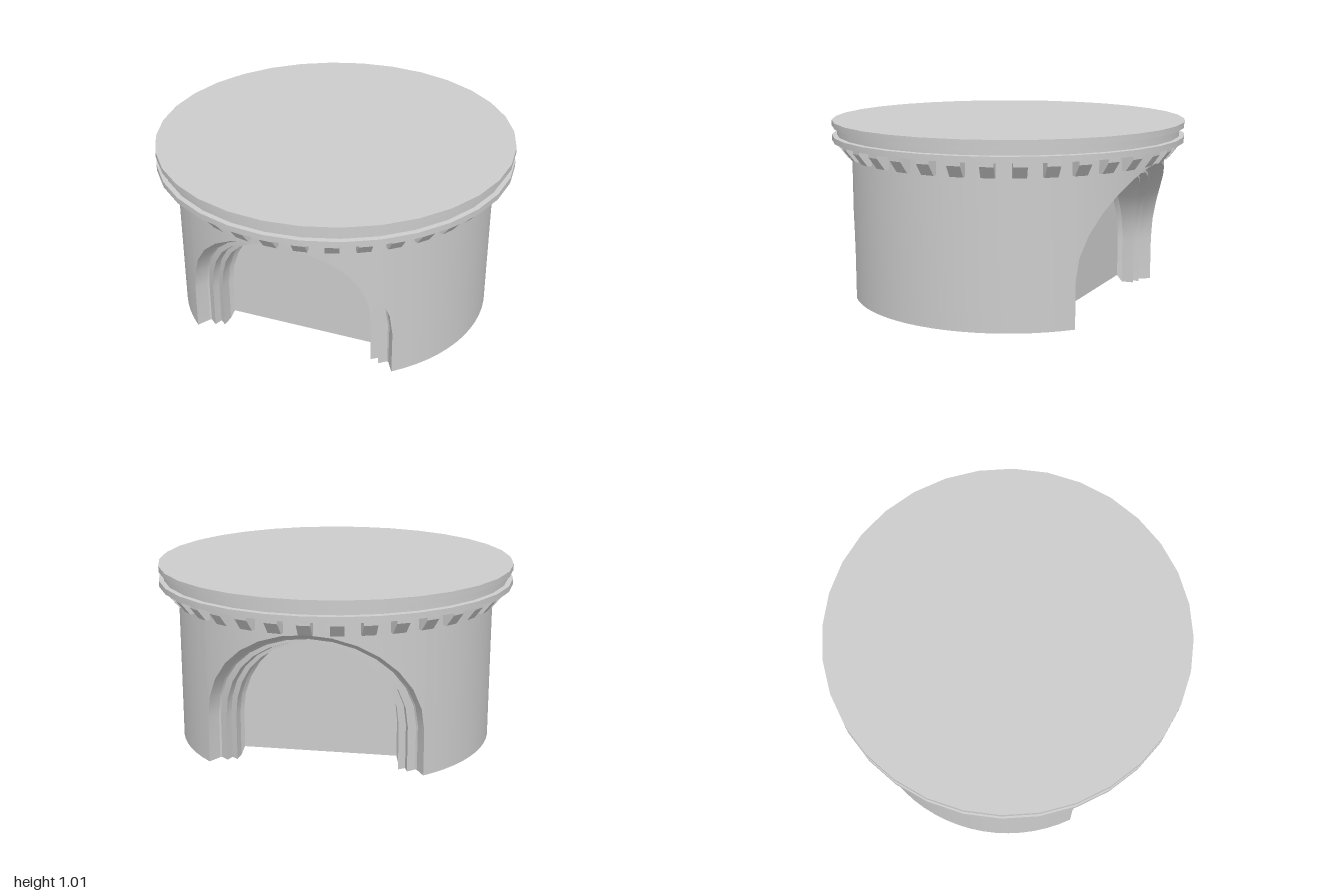
import * as THREE from 'three';
import { toCreasedNormals } from 'three/addons/utils/BufferGeometryUtils.js';

const R = 0.888;         // drum radius
const SPRING = 0.25;     // height where the arches begin to curve
const SOFFIT = 0.893;    // underside of the cornice

const mat = new THREE.MeshStandardMaterial({ color: 0xcccccc });
const open = new THREE.MeshStandardMaterial({ color: 0xcccccc, side: THREE.DoubleSide });

function add(parent, name, geometry, material = mat) {
  const mesh = new THREE.Mesh(geometry, material);
  mesh.name = name;
  parent.add(mesh);
  return mesh;
}

// Ruled surface between two rows of points
function strip(rowA, rowB) {
  const n = rowA.length;
  const index = [];
  for (let i = 0; i < n - 1; i++) {
    index.push(i, i + 1, n + i, i + 1, n + i + 1, n + i);
  }
  const g = new THREE.BufferGeometry().setFromPoints([...rowA, ...rowB]);
  g.setIndex(index);
  g.computeVertexNormals();
  return g;
}

// Arch outline from the +x foot over the crown to the -x foot
function archPath({ a, b, base = 0 }, segments = 14) {
  const pts = [new THREE.Vector2(a, base)];
  for (let i = 0; i <= segments; i++) {
    const t = (i / segments) * Math.PI;
    pts.push(new THREE.Vector2(a * Math.cos(t), SPRING + b * Math.sin(t)));
  }
  pts.push(new THREE.Vector2(-a, base));
  return pts;
}

// Arch outline in space: wrapped round a cylinder of radius r, or flat at depth z
function archRow(step) {
  return archPath(step).map((p) => new THREE.Vector3(
    p.x, p.y, step.r ? Math.sqrt(step.r ** 2 - p.x ** 2) : step.z));
}

// Concentric stepped rings follow the drum's curve, then a deep reveal meets the panel
const STEPS = [
  { a: 0.58, b: 0.55, r: R },
  { a: 0.54, b: 0.515, r: 0.81 },
  { a: 0.53, b: 0.505, r: 0.80 },
  { a: 0.49, b: 0.49, r: 0.80 },
  { a: 0.475, b: 0.48, r: 0.755 },
  { a: 0.44, b: 0.47, r: 0.755 },
  { a: 0.435, b: 0.465, z: 0.545 },
  { a: 0.42, b: 0.45, base: 0.04, z: 0.52 },
];

function addArch(parent) {
  const rows = STEPS.map(archRow);
  for (let i = 1; i < rows.length; i++) {
    add(parent, 'archMoulding', strip(rows[i - 1], rows[i]), open);
  }
  const inner = STEPS[STEPS.length - 1];
  const panel = new THREE.ShapeGeometry(new THREE.Shape(archPath(inner)));
  add(parent, 'archPanel', panel, open).position.z = inner.z;
}

// One half of the drum wall: the part over the arch and one solid side
function addDrumHalf(parent) {
  const raise = (row) => row.map((p) => new THREE.Vector3(p.x, SOFFIT, p.z));
  const overArch = archRow(STEPS[0]).slice(1, -1).reverse();
  add(parent, 'wallOverArch', strip(overArch, raise(overArch)), open);

  const edge = Math.asin(STEPS[0].a / R);
  const foot = [];
  for (let i = 0; i <= 20; i++) {
    const t = edge + (Math.PI - 2 * edge) * (i / 20);
    foot.push(new THREE.Vector3(R * Math.sin(t), 0, R * Math.cos(t)));
  }
  add(parent, 'sideWall', strip(foot, raise(foot)), open);
}

export function createModel() {
  const model = new THREE.Group();
  model.name = 'archedRoundPedestal';

  // Front and back halves are the same, turned half a circle
  for (let i = 0; i < 2; i++) {
    const half = new THREE.Group();
    half.name = i ? 'backHalf' : 'frontHalf';
    half.rotation.y = i * Math.PI;
    addDrumHalf(half);
    addArch(half);
    model.add(half);
  }

  // Cornice: flat underside that also roofs the drum, lower ring, groove and top slab
  const profile = [
    [0, SOFFIT], [0.997, SOFFIT], [0.997, 0.925], [0.97, 0.927],
    [0.97, 0.972], [0.997, 0.975], [0.997, 1.007], [0, 1.007],
  ].map(([r, y]) => new THREE.Vector2(r, y));
  const cornice = new THREE.LatheGeometry(profile, 32);
  add(model, 'cornice', toCreasedNormals(cornice, 0.3));

  // Ring of small brackets under the cornice
  const side = new THREE.Shape([
    [0.88, 0.805], [0.913, 0.805], [0.962, 0.868], [0.962, SOFFIT], [0.88, SOFFIT],
  ].map(([r, y]) => new THREE.Vector2(r, y)));
  const width = 0.072;
  const bracket = new THREE.ExtrudeGeometry(side, { depth: width, bevelEnabled: false });
  bracket.translate(0, 0, -width / 2);
  const brackets = new THREE.Group();
  brackets.name = 'brackets';
  for (let i = 0; i < 36; i++) {
    add(brackets, 'bracket', bracket).rotation.y = (i / 36) * Math.PI * 2;
  }
  model.add(brackets);

  return model;
}
